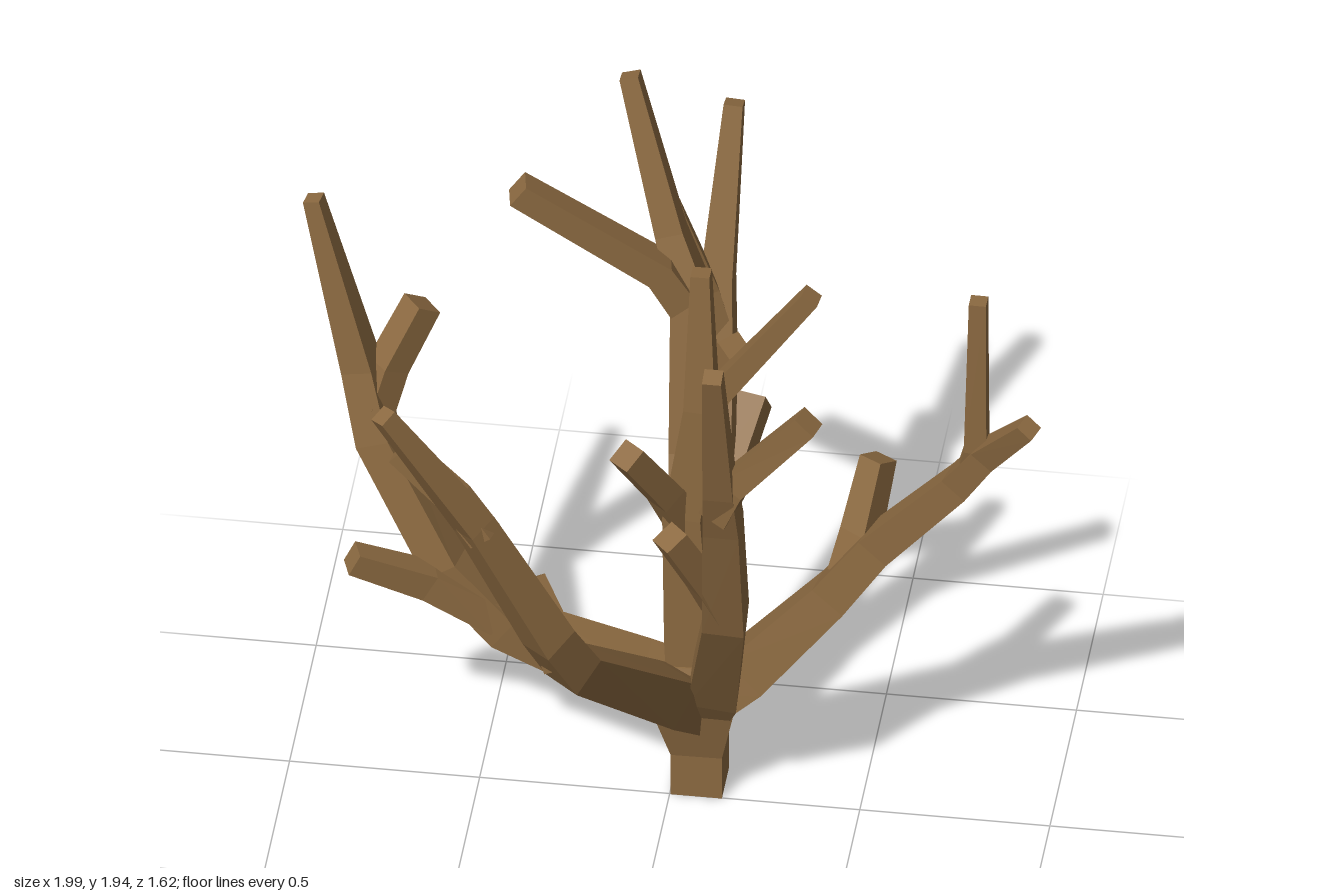
import * as THREE from 'three';

// Square-section limb through points [x, y, z, width], capped at both ends
function limbGeometry(pts, ref) {
  const p = pts.map(a => new THREE.Vector3(a[0], a[1], a[2]));
  const n = p.length;
  if (!ref) {
    // keep two faces parallel to the limb's overall heading
    const d = p[n - 1].clone().sub(p[0]);
    ref = new THREE.Vector3(d.z, 0, -d.x).normalize();
  }
  const pos = [], idx = [];
  for (let i = 0; i < n; i++) {
    const t = new THREE.Vector3();
    if (i > 0) t.add(p[i].clone().sub(p[i - 1]).normalize());
    if (i < n - 1) t.add(p[i + 1].clone().sub(p[i]).normalize());
    t.normalize();
    const u = ref.clone().addScaledVector(t, -ref.dot(t)).normalize();
    const v = t.clone().cross(u);
    const h = pts[i][3] / 2;
    for (const [a, b] of [[-1, -1], [1, -1], [1, 1], [-1, 1]]) {
      const c = p[i].clone().addScaledVector(u, a * h).addScaledVector(v, b * h);
      pos.push(c.x, c.y, c.z);
    }
  }
  for (let i = 0; i < n - 1; i++) {
    for (let k = 0; k < 4; k++) {
      const a = i * 4 + k, b = i * 4 + (k + 1) % 4;
      idx.push(a, b, b + 4, a, b + 4, a + 4);
    }
  }
  const e = (n - 1) * 4;
  idx.push(0, 2, 1, 0, 3, 2, e, e + 1, e + 2, e, e + 2, e + 3);
  const g = new THREE.BufferGeometry();
  g.setAttribute('position', new THREE.Float32BufferAttribute(pos, 3));
  g.setIndex(idx);
  const flat = g.toNonIndexed();
  flat.computeVertexNormals();
  return flat;
}

export function createModel() {
  const group = new THREE.Group();
  const bark = new THREE.MeshStandardMaterial({ color: 0x8c6a41 });
  bark.name = 'bark brown';

  function limb(name, pts, ref) {
    const m = new THREE.Mesh(limbGeometry(pts, ref), bark);
    m.name = name;
    group.add(m);
  }
  const X = new THREE.Vector3(1, 0, 0);

  // Trunk stub that flares into the fork
  limb('trunk', [[0.07, 0, -0.065, 0.135], [0.07, 0.13, -0.065, 0.135],
    [0.065, 0.31, -0.065, 0.22], [0.06, 0.42, -0.065, 0.14]], X);

  // Right-hand side limb with its two twigs
  limb('rightBranch', [[0.06, 0.28, -0.07, 0.14], [-0.09, 0.325, -0.075, 0.14], [-0.44, 0.46, -0.07, 0.105],
    [-0.6, 0.63, -0.085, 0.1], [-0.79, 0.96, -0.165, 0.095], [-0.84, 1.16, -0.205, 0.085], [-0.97, 1.675, -0.235, 0.045]]);
  limb('rightLowTwig', [[-0.46, 0.49, -0.07, 0.09], [-0.64, 0.61, -0.03, 0.08], [-0.83, 0.715, 0.04, 0.065]]);
  limb('rightHighTwig', [[-0.8, 1.05, -0.19, 0.08], [-0.77, 1.16, -0.22, 0.08], [-0.69, 1.325, -0.28, 0.075]]);

  // Front limb leaning to the right-hand side
  limb('frontRightBranch', [[0.06, 0.26, -0.06, 0.13], [0.005, 0.4, 0.1, 0.135], [-0.18, 0.79, 0.52, 0.11],
    [-0.235, 0.94, 0.595, 0.105], [-0.42, 1.36, 0.68, 0.085], [-0.645, 1.765, 0.78, 0.05]]);
  limb('frontRightHighTwig', [[-0.39, 1.32, 0.68, 0.07], [-0.47, 1.42, 0.66, 0.07], [-0.62, 1.545, 0.63, 0.065]]);
  limb('frontRightLowTwig', [[-0.2, 0.82, 0.56, 0.08], [-0.25, 0.91, 0.51, 0.08], [-0.31, 1.01, 0.45, 0.07]]);

  // Front limb rising on the left-hand side
  limb('frontLeftBranch', [[0.07, 0.25, -0.06, 0.13], [0.12, 0.38, 0.02, 0.13], [0.18, 0.78, 0.24, 0.11],
    [0.19, 1.18, 0.36, 0.095], [0.19, 1.34, 0.42, 0.08], [0.19, 1.805, 0.55, 0.05]], X);
  limb('frontLeftHighTwig', [[0.18, 1.24, 0.39, 0.08], [0.23, 1.36, 0.415, 0.075], [0.43, 1.615, 0.46, 0.065]]);
  limb('frontLeftLowTwig', [[0.17, 0.82, 0.25, 0.08], [0.13, 0.93, 0.29, 0.075], [0.05, 1.12, 0.36, 0.07]]);

  // Left-hand side limb with three tips
  limb('leftBranch', [[0.07, 0.26, -0.07, 0.13], [0.2, 0.38, -0.075, 0.13], [0.42, 0.65, -0.07, 0.105],
    [0.54, 0.83, -0.06, 0.095], [0.76, 1.1, -0.005, 0.08], [0.84, 1.23, 0.035, 0.07], [0.965, 1.41, 0.14, 0.05]]);
  limb('leftHighTwig', [[0.78, 1.12, 0.0, 0.06], [0.81, 1.24, 0.02, 0.06], [0.815, 1.72, 0.02, 0.045]], X);
  limb('leftLowTwig', [[0.46, 0.72, -0.07, 0.08], [0.49, 0.84, -0.1, 0.08], [0.525, 1.03, -0.17, 0.07]]);

  // Upright centre limb
  limb('centreBranch', [[0.06, 0.28, -0.065, 0.13], [0.045, 0.5, -0.06, 0.12], [0.03, 0.9, -0.05, 0.1],
    [0.075, 1.24, -0.06, 0.085], [0.07, 1.65, -0.09, 0.05]], X);
  limb('centreHighTwig', [[0.07, 1.18, -0.06, 0.07], [0.13, 1.3, -0.06, 0.065], [0.37, 1.655, -0.025, 0.05]]);
  limb('centreLowTwig', [[0.03, 0.86, -0.05, 0.08], [-0.01, 0.98, 0.0, 0.075], [-0.1, 1.175, 0.1, 0.07]]);

  // Tall inner back limb
  limb('backTallBranch', [[0.065, 0.28, -0.08, 0.13], [0.05, 0.45, -0.14, 0.125], [0.01, 0.9, -0.31, 0.1],
    [0.0, 1.33, -0.41, 0.1], [-0.06, 1.5, -0.45, 0.075], [-0.18, 1.93, -0.54, 0.05]], X);
  limb('backTallHighTwig', [[0.0, 1.28, -0.4, 0.085], [-0.08, 1.42, -0.385, 0.08], [-0.445, 1.695, -0.32, 0.07]]);
  limb('backTallLowTwig', [[0.015, 0.98, -0.34, 0.08], [0.05, 1.11, -0.32, 0.08], [0.14, 1.3, -0.235, 0.07]]);

  // Spreading rear limb
  limb('backBranch', [[0.07, 0.26, -0.07, 0.13], [0.06, 0.4, -0.2, 0.13], [0.05, 0.65, -0.42, 0.11],
    [0.04, 0.97, -0.59, 0.1], [0.035, 1.2, -0.655, 0.085], [0.06, 1.68, -0.785, 0.05]], X);
  limb('backLowTwig', [[0.06, 0.57, -0.35, 0.09], [0.08, 0.67, -0.46, 0.08], [0.13, 0.81, -0.66, 0.08]]);
  limb('backHighTwig', [[0.04, 1.05, -0.61, 0.08], [0.0, 1.2, -0.61, 0.08], [-0.08, 1.47, -0.57, 0.07]]);

  return group;
}
